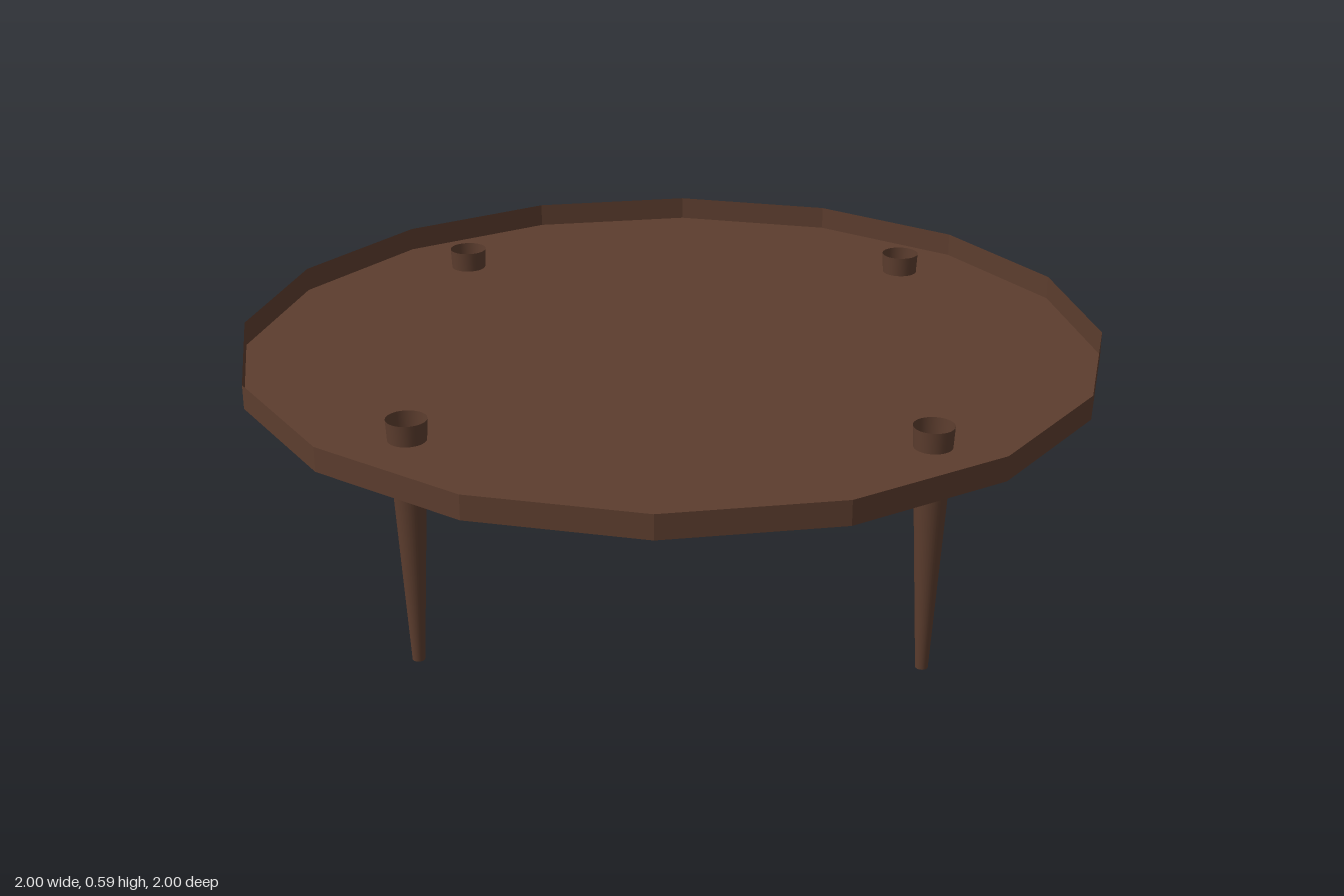
import * as THREE from 'three';

const FLOOR_Y = 0.532, RIM_Y = 0.588, LEG_TOP = 0.58;

export function createModel() {
  const table = new THREE.Group();
  table.name = 'trayTable';
  const wood = new THREE.MeshStandardMaterial({ color: 0x5c3d2e, side: THREE.DoubleSide });
  wood.name = 'dark brown wood';

  const add = (name, geometry, x, y, z) => {
    const mesh = new THREE.Mesh(geometry, wood);
    mesh.name = name;
    mesh.position.set(x, y, z);
    table.add(mesh);
  };

  // sixteen-sided tray: flat floor and a thin upright rim
  const floor = new THREE.CircleGeometry(1, 16).rotateX(-Math.PI / 2);
  add('trayFloor', floor, 0, FLOOR_Y, 0);
  const rim = new THREE.CylinderGeometry(1, 1, RIM_Y - FLOOR_Y, 16, 1, true).toNonIndexed();
  rim.computeVertexNormals(); // faceted rim
  add('trayRim', rim, 0, (RIM_Y + FLOOR_Y) / 2, 0);

  // four tapered legs, open at the top, poking up through the floor
  const leg = new THREE.CylinderGeometry(0.045, 0.014, LEG_TOP, 32, 1, true);
  const foot = new THREE.CircleGeometry(0.014, 32).rotateX(Math.PI / 2);
  const names = ['left', 'front', 'right', 'back'];
  names.forEach((name, i) => {
    const angle = i * Math.PI / 2;
    const x = 0.024 + 0.787 * Math.cos(angle);
    const z = -0.004 + 0.787 * Math.sin(angle);
    add(name + 'Leg', leg, x, LEG_TOP / 2, z);
    add(name + 'Foot', foot, x, 0, z);
  });

  return table;
}
